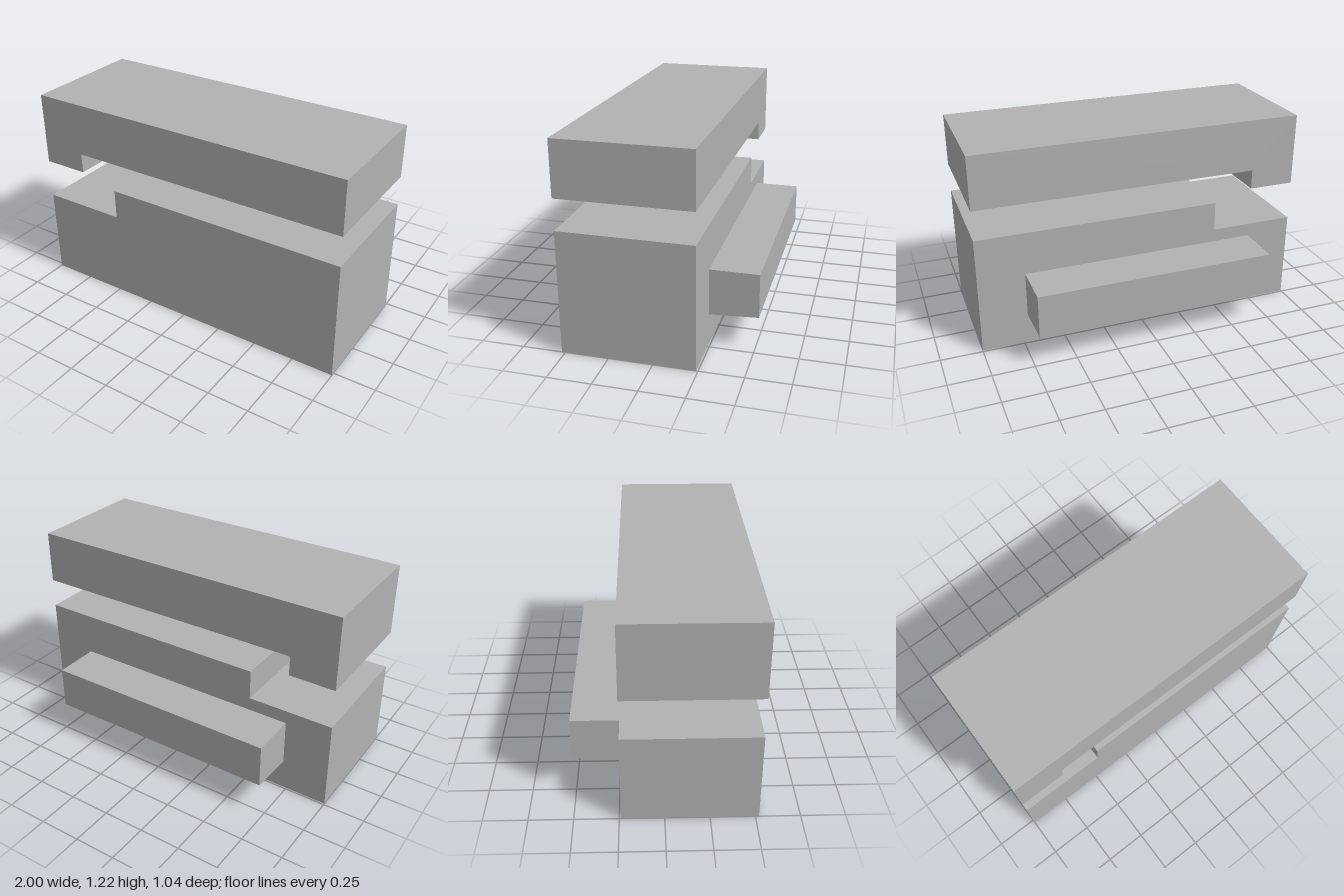
import * as THREE from 'three';

const BACK = -0.24, FRONT = 0.52;

// Extrudes a closed outline from depth 0 to the given length along z
function prism(points, length) {
  const shape = new THREE.Shape(points.map(([x, y]) => new THREE.Vector2(x, y)));
  return new THREE.ExtrudeGeometry(shape, { depth: length, bevelEnabled: false });
}

export function createModel() {
  const group = new THREE.Group();
  const grey = new THREE.MeshStandardMaterial({ color: 0xb2b2b2 });
  grey.name = 'grey';

  function add(name, geometry) {
    const mesh = new THREE.Mesh(geometry, grey);
    mesh.name = name;
    group.add(mesh);
  }

  // Lower block with a step down on its right end
  const lower = prism([[-1, 0], [1, 0], [1, 0.72], [-0.48, 0.72], [-0.48, 0.54], [-1, 0.54]], FRONT - BACK);
  add('lowerBlock', lower.translate(0, 0, BACK));

  // Upper block floating above, with a lip hanging from its right end
  const upper = prism([[-1, 0.78], [-0.72, 0.78], [-0.72, 0.9], [1, 0.9], [1, 1.22], [-1, 1.22]], FRONT - BACK);
  add('upperBlock', upper.translate(0, 0, BACK));

  // Rear ledge with a slightly sloping underside; outline is (-z, y), swept along x
  const ledge = prism([[-BACK, 0.187], [0.52, 0.203], [0.52, 0.46], [-BACK, 0.46]], 1.44);
  add('rearLedge', ledge.translate(0, 0, -0.72).rotateY(Math.PI / 2));

  return group;
}
